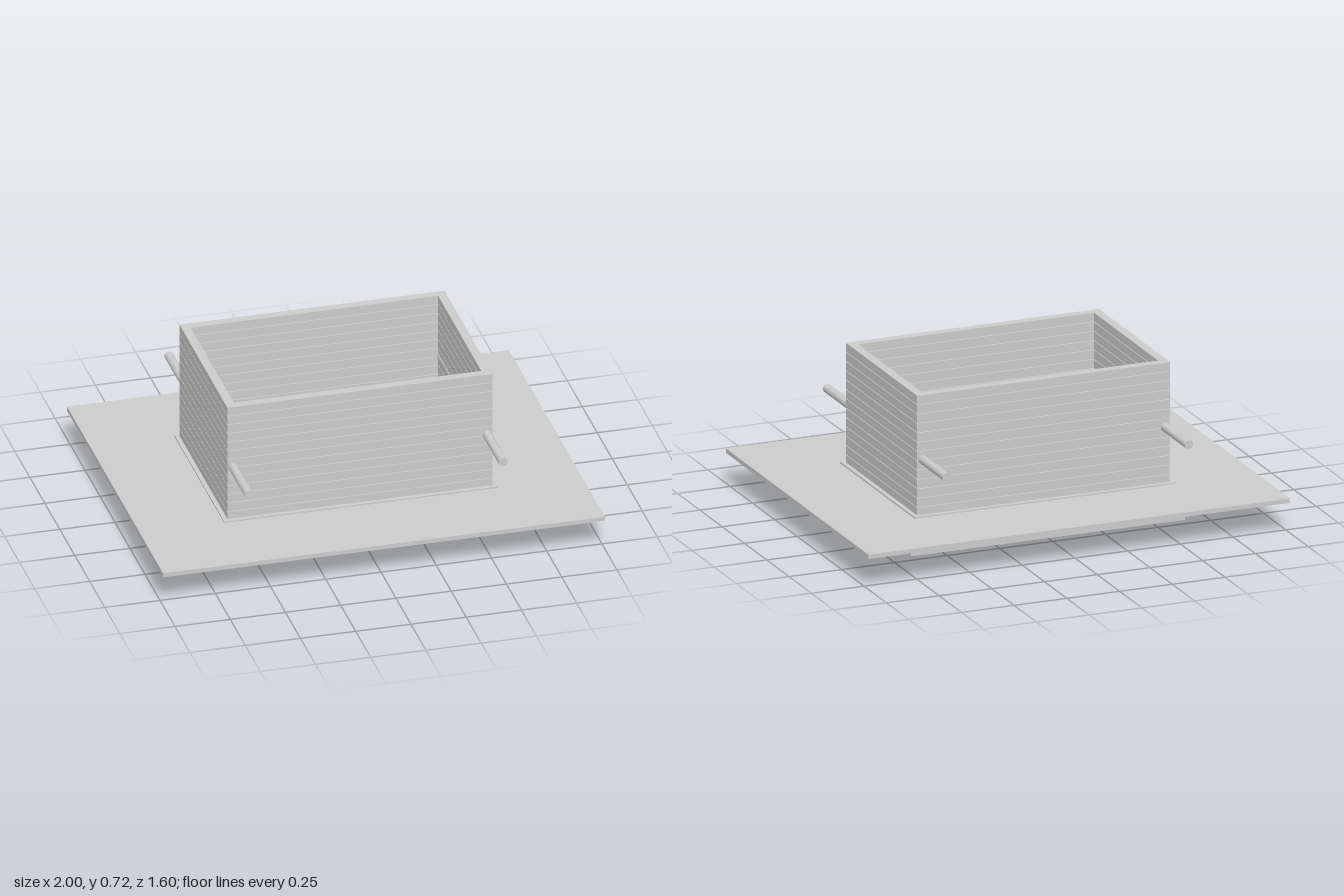
import * as THREE from 'three';

const mat = new THREE.MeshStandardMaterial({ color: 0xcccccc, flatShading: true });

export function createModel() {
  const model = new THREE.Group();
  const add = (name, geometry, x, y, z) => {
    const mesh = new THREE.Mesh(geometry, mat);
    mesh.name = name;
    mesh.position.set(x, y, z);
    model.add(mesh);
    return mesh;
  };
  // Box given by its half width, half depth and bottom / top heights
  const slab = (name, hx, hz, y0, y1, z = 0) =>
    add(name, new THREE.BoxGeometry(hx * 2, y1 - y0, hz * 2), 0, (y0 + y1) / 2, z);

  // Rectangular ring lying flat, extruded upwards
  const ring = (name, ox, oz, ix, iz, y0, y1) => {
    const corners = (a, b) => [[-a, -b], [a, -b], [a, b], [-a, b]].map(p => new THREE.Vector2(...p));
    const shape = new THREE.Shape(corners(ox, oz));
    shape.holes.push(new THREE.Path(corners(ix, iz).reverse()));
    const geometry = new THREE.ExtrudeGeometry(shape, { depth: y1 - y0, bevelEnabled: false });
    geometry.rotateX(-Math.PI / 2);
    add(name, geometry, 0, y0, 0);
  };

  // Stepped foundation
  slab('lowerFoundation', 0.65, 0.45, 0, 0.07);
  slab('upperFoundation', 0.63, 0.43, 0.07, 0.12);
  slab('foundationCore', 0.6, 0.4, 0.12, 0.14);
  for (const s of [1, -1]) slab('crossBeam', 0.66, 0.05, 0, 0.14, s * 0.35);

  // Wide floor plate and the low flange under the walls
  slab('floorPlate', 1, 0.8, 0.14, 0.16);
  slab('wallFlange', 0.62, 0.42, 0.16, 0.167);

  // Walls stacked from thin courses, with a recessed core behind the seams
  const courses = 13, pitch = 0.043, seam = 0.003, base = 0.161;
  for (let i = 0; i < courses; i++) {
    const y = base + i * pitch;
    ring('wallCourse', 0.6, 0.4, 0.56, 0.36, y, y + pitch - seam);
  }
  ring('wallCore', 0.59, 0.39, 0.57, 0.37, base, 0.71);

  // Carrying handles running through the long ends
  for (const sx of [1, -1]) for (const sz of [1, -1]) {
    const rod = new THREE.CylinderGeometry(0.02, 0.02, 0.6, 16);
    rod.rotateX(Math.PI / 2);
    add('handleRod', rod, sx * 0.575, 0.422, sz * 0.37);
  }
  return model;
}
